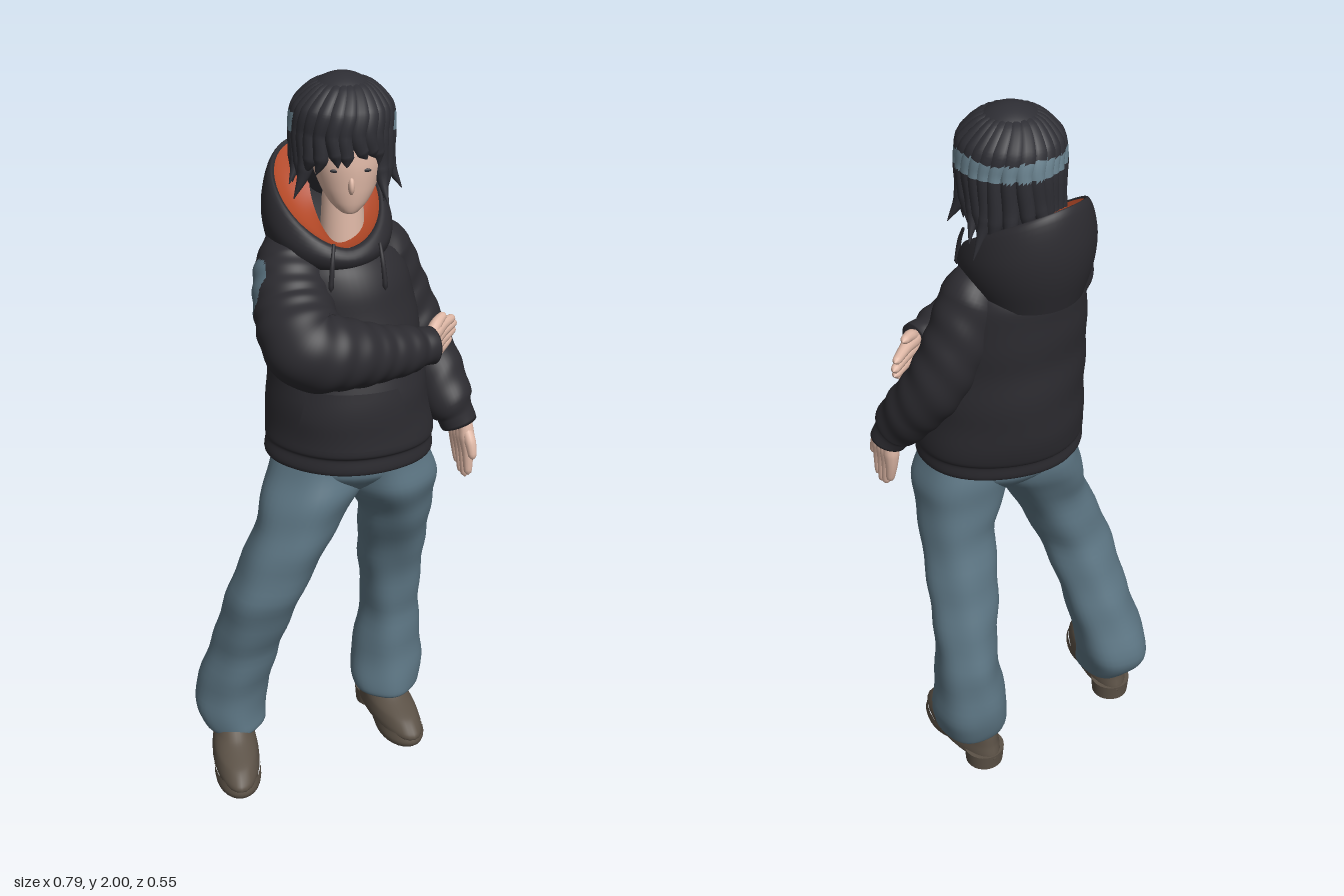
import * as THREE from 'three';
import { mergeVertices } from 'three/addons/utils/BufferGeometryUtils.js';

const V = (x, y, z) => new THREE.Vector3(x, y, z);
const mat = (name, color, side = THREE.FrontSide) => {
  const m = new THREE.MeshStandardMaterial({ color, side });
  m.name = name;
  return m;
};

// Surface through rows of points; rows run upward, points run anticlockwise from the front
function skin(rows, cols, closed, point) {
  const pos = [], idx = [], w = closed ? cols : cols + 1;
  for (let i = 0; i <= rows; i++)
    for (let j = 0; j < w; j++) pos.push(...point(i / rows, j / cols).toArray());
  for (let i = 0; i < rows; i++)
    for (let j = 0; j < cols; j++) {
      const a = i * w + j, b = i * w + ((j + 1) % w), c = a + w, d = b + w;
      idx.push(a, b, d, a, d, c);
    }
  const g = new THREE.BufferGeometry();
  g.setAttribute('position', new THREE.Float32BufferAttribute(pos, 3));
  g.setIndex(idx);
  g.computeVertexNormals();
  return g;
}

// Upright form from elliptical sections [y, x, z, rx, rz], with soft cloth folds
function loft(sections, { fold = 0, grow = 0, arc = null, rows = 48, cols = 40 } = {}) {
  const mid = new THREE.CatmullRomCurve3(sections.map(s => V(s[1], s[0], s[2])), false, 'catmullrom', 0.4);
  const rad = new THREE.CatmullRomCurve3(sections.map(s => V(s[3], s[4], 0)), false, 'catmullrom', 0.4);
  return skin(rows, cols, !arc, (t, u) => {
    const c = mid.getPoint(t), r = rad.getPoint(t);
    const a = arc ? (u * 2 - 1) * arc * (1 - 0.3 * t) : u * Math.PI * 2;
    const k = 1 + fold * Math.sin(2 * a + c.y * 26) * Math.sin(3 * a - c.y * 17 + 1);
    return V(c.x + (r.x * k + grow) * Math.sin(a), c.y, c.z + (r.y * k + grow) * Math.cos(a));
  });
}

// Round limb along a path of [x, y, z, radius]
function limb(points, { fold = 0, rows = 40, cols = 20 } = {}) {
  const path = new THREE.CatmullRomCurve3(points.map(p => V(p[0], p[1], p[2])));
  let g = new THREE.TubeGeometry(path, rows, 1, cols, false);
  const pos = g.attributes.position, p = V(), n = points.length - 1;
  for (let i = 0; i <= rows; i++) {
    const t = path.getUtoTmapping(i / rows) * n, k = Math.min(Math.floor(t), n - 1);
    const c = path.getPointAt(i / rows);
    const r = THREE.MathUtils.lerp(points[k][3], points[k + 1][3], t - k);
    for (let j = 0; j <= cols; j++) {
      const id = i * (cols + 1) + j, a = (j / cols) * Math.PI * 2;
      p.fromBufferAttribute(pos, id).sub(c);
      p.multiplyScalar(r * (1 + fold * Math.sin(i * 0.55 + 3 * Math.sin(a)))).add(c);
      pos.setXYZ(id, p.x, p.y, p.z);
    }
  }
  g.deleteAttribute('uv');
  g.deleteAttribute('normal');
  g = mergeVertices(g, 1e-5);
  g.computeVertexNormals();
  return g;
}

// Splits faces into two material groups by the place of their centre
function paint(g, test) {
  const old = g.index.array, pos = g.attributes.position, parts = [[], []], c = V(), q = V();
  for (let i = 0; i < old.length; i += 3) {
    c.set(0, 0, 0);
    for (let k = 0; k < 3; k++) c.add(q.fromBufferAttribute(pos, old[i + k]));
    parts[test(c.divideScalar(3)) ? 1 : 0].push(old[i], old[i + 1], old[i + 2]);
  }
  g.setIndex([...parts[0], ...parts[1]]);
  g.addGroup(0, parts[0].length, 0);
  g.addGroup(parts[0].length, parts[1].length, 1);
  return g;
}

export function createModel() {
  const model = new THREE.Group();
  const cloth = mat('charcoal cloth', 0x2c2b30, THREE.DoubleSide);
  const hairMat = mat('black hair', 0x2e2e34);
  const shine = mat('hair shine', 0x6c8592);
  const denim = mat('blue denim', 0x5d7684);
  const skinMat = mat('skin', 0xe0b9a7);
  const lining = mat('orange lining', 0xb04726, THREE.DoubleSide);
  const leather = mat('brown leather', 0x5b5146);
  const add = (name, geo, m, parent = model) => {
    const mesh = new THREE.Mesh(geo, m);
    mesh.name = name;
    parent.add(mesh);
    return mesh;
  };
  const ball = (name, at, size, m) => {
    const b = add(name, new THREE.SphereGeometry(1, 32, 20), m);
    b.position.set(...at);
    b.scale.set(...size);
  };

  // Trousers
  add('rightTrouserLeg', loft([[0.1, -0.285, 0, 0.07, 0.08], [0.115, -0.285, 0, 0.09, 0.1],
    [0.2, -0.295, -0.027, 0.105, 0.122], [0.4, -0.243, 0.01, 0.098, 0.108], [0.6, -0.185, 0.062, 0.105, 0.11],
    [0.8, -0.1, 0.05, 0.113, 0.12], [0.92, -0.05, 0.01, 0.135, 0.14], [1.03, -0.02, -0.01, 0.12, 0.13]], { fold: 0.045 }), denim);
  add('leftTrouserLeg', loft([[0.1, 0.18, -0.14, 0.07, 0.08], [0.12, 0.18, -0.14, 0.098, 0.108],
    [0.2, 0.18, -0.16, 0.107, 0.115], [0.4, 0.19, -0.16, 0.086, 0.104], [0.6, 0.185, -0.12, 0.096, 0.092],
    [0.8, 0.18, -0.05, 0.104, 0.115], [0.92, 0.158, -0.02, 0.13, 0.14], [1.03, 0.135, -0.01, 0.12, 0.135]], { fold: 0.045 }), denim);
  add('trouserSeat', loft([[0.88, 0.055, -0.01, 0.02, 0.03], [0.91, 0.055, -0.01, 0.06, 0.09],
    [0.97, 0.05, -0.01, 0.19, 0.142], [1.04, 0.05, -0.01, 0.195, 0.145]]), denim);

  // Shoes with block heels
  for (const [name, x, z, turn] of [['rightShoe', -0.288, 0.085, 0.06], ['leftShoe', 0.188, -0.09, 0.33]]) {
    const shoe = new THREE.Group();
    shoe.name = name;
    shoe.position.set(x, 0, z);
    shoe.rotation.y = turn;
    model.add(shoe);
    add('upper', loft([[0.03, 0, 0, 0.001, 0.1], [0.032, 0, 0, 0.06, 0.165], [0.05, 0, 0, 0.067, 0.168],
      [0.08, 0, -0.015, 0.063, 0.145], [0.11, 0, -0.055, 0.055, 0.1], [0.16, 0, -0.085, 0.048, 0.06]], { cols: 28 }), leather, shoe);
    add('sole', loft([[0, 0, 0.065, 0.001, 0.002], [0, 0, 0.065, 0.055, 0.085], [0.02, 0, 0.06, 0.066, 0.108],
      [0.045, 0, 0.04, 0.066, 0.12]], { cols: 28, rows: 12 }), leather, shoe);
    add('heel', new THREE.CylinderGeometry(0.058, 0.054, 0.05, 28), leather, shoe).position.set(0, 0.025, -0.112);
  }

  // Hooded top: body, front pocket, sleeves
  add('topBody', loft([[0.995, 0.05, -0.01, 0.12, 0.1], [1.0, 0.05, -0.01, 0.22, 0.172], [1.045, 0.05, -0.015, 0.223, 0.178],
    [1.07, 0.05, -0.02, 0.226, 0.194], [1.2, 0.045, -0.03, 0.212, 0.203], [1.35, 0.035, -0.05, 0.2, 0.18],
    [1.47, 0.025, -0.065, 0.186, 0.17], [1.53, 0.015, -0.075, 0.168, 0.158], [1.56, 0.015, -0.08, 0.135, 0.13],
    [1.57, 0.015, -0.08, 0.04, 0.04]], { fold: 0.016, rows: 60, cols: 56 }), cloth);
  add('frontPocket', loft([[1.08, 0.05, -0.022, 0.226, 0.197], [1.15, 0.047, -0.026, 0.219, 0.202],
    [1.24, 0.043, -0.035, 0.21, 0.2]], { fold: 0.016, grow: 0.006, arc: 0.8, rows: 16, cols: 24 }), cloth);
  const rightSleeve = limb([[-0.085, 1.6, -0.085, 0.02], [-0.095, 1.575, -0.07, 0.065], [-0.1, 1.52, -0.02, 0.096],
    [-0.1, 1.44, 0.07, 0.104], [-0.07, 1.375, 0.165, 0.109], [0.02, 1.352, 0.159, 0.092], [0.12, 1.33, 0.115, 0.073],
    [0.2, 1.32, 0.075, 0.062], [0.22, 1.318, 0.065, 0.051], [0.258, 1.315, 0.046, 0.05], [0.26, 1.315, 0.045, 0.01]],
    { fold: 0.018, rows: 150, cols: 80 });
  add('rightSleeve', paint(rightSleeve, c =>
    c.x < -0.13 && ((c.z - 0.03) / 0.062) ** 2 + ((c.y - 1.465) / 0.093) ** 2 < 1), [cloth, denim]);
  add('leftSleeve', limb([[0.1, 1.6, -0.1, 0.02], [0.11, 1.575, -0.1, 0.06], [0.14, 1.52, -0.115, 0.083],
    [0.19, 1.4, -0.13, 0.083], [0.24, 1.29, -0.118, 0.08], [0.288, 1.19, -0.065, 0.076], [0.322, 1.11, -0.015, 0.067],
    [0.334, 1.09, -0.008, 0.052], [0.348, 1.055, 0, 0.048], [0.349, 1.052, 0, 0.01]], { fold: 0.022, rows: 90, cols: 40 }), cloth);

  // Hood lying open behind the neck, high at the back and dipping to a point at the throat
  const hood = rings => skin(20, 56, true, (t, u) => {
    const a = u * Math.PI * 2, f = (1 - Math.cos(a - 0.3)) / 2;
    const rim = 1.592 + 0.193 * Math.pow(f, 0.8) - 0.01 * Math.sin(a);
    const r = new THREE.CatmullRomCurve3(rings.map(k => V(k[0], k[1], THREE.MathUtils.lerp(1.525, rim, k[2])))).getPoint(t);
    return V(-0.002 + r.x * Math.sin(a), r.z, -0.095 + r.y * Math.cos(a));
  });
  add('hoodOuter', hood([[0.14, 0.15, 0], [0.163, 0.174, 0.35], [0.168, 0.18, 0.65], [0.153, 0.167, 0.96], [0.14, 0.154, 1.03], [0.132, 0.146, 0.99]]), cloth);
  add('hoodLining', hood([[0.133, 0.147, 1], [0.124, 0.138, 0.97], [0.1, 0.118, 0.92], [0.045, 0.07, 0.9]]), lining);
  for (const [x, lean] of [[0.0, -0.01], [0.115, 0.012]])
    add('drawstring', limb([[x, 1.61, 0.07, 0.004], [x + lean * 0.5, 1.565, 0.09, 0.006],
      [x + lean, 1.5, 0.1, 0.007], [x + lean, 1.495, 0.1, 0.001]], { rows: 12, cols: 8 }), cloth);

  // Hands: four fingers grown from the wrist, and a thumb on the side axis
  const hand = (name, wrist, dir, side) => {
    const g = new THREE.Group();
    g.name = name;
    model.add(g);
    const at = (d, s, r) => [...wrist.clone().addScaledVector(dir, d).addScaledVector(side, s).toArray(), r];
    [-1.5, -0.5, 0.5, 1.5].forEach((k, i) => {
      const len = [0.13, 0.152, 0.157, 0.145][i];
      add('finger', limb([at(-0.03, k * 0.013, 0.018), at(0.03, k * 0.018, 0.022), at(0.075, k * 0.02, 0.016),
        at(len - 0.01, k * 0.018, 0.011), at(len, k * 0.018, 0.001)], { rows: 20, cols: 12 }), skinMat, g);
    });
    add('thumb', limb([at(0, 0.02, 0.016), at(0.04, 0.046, 0.016), at(0.08, 0.055, 0.011), at(0.09, 0.055, 0.001)],
      { rows: 16, cols: 12 }), skinMat, g);
  };
  hand('rightHand', V(0.25, 1.312, 0.045), V(0.57, 0, -0.82).normalize(), V(0, 1, 0));
  hand('leftHand', V(0.352, 1.06, 0.002), V(0.06, -0.98, 0.1).normalize(), V(0.35, 0.1, 0.93));

  // Head and face
  add('neck', new THREE.CylinderGeometry(0.05, 0.06, 0.2, 24), skinMat).position.set(0.035, 1.64, -0.065);
  add('head', loft([[1.667, 0.045, 0, 0.008, 0.01], [1.672, 0.045, -0.004, 0.024, 0.03], [1.695, 0.045, -0.022, 0.05, 0.057],
    [1.735, 0.045, -0.04, 0.073, 0.081], [1.8, 0.044, -0.06, 0.094, 0.104], [1.9, 0.04, -0.07, 0.095, 0.1],
    [1.95, 0.04, -0.08, 0.05, 0.05]]), skinMat);
  ball('nose', [0.046, 1.748, 0.036], [0.009, 0.024, 0.017], skinMat);
  for (const s of [-1, 1]) ball('eye', [0.045 + s * 0.036, 1.785, 0.033], [0.015, 0.005, 0.004], hairMat);

  // Hair: cap, nape and overlapping pointed locks with a shine band round the back
  const cap = add('hairCap', new THREE.SphereGeometry(1, 40, 20, 0, Math.PI * 2, 0, Math.PI * 0.55), hairMat);
  cap.position.set(0.035, 1.86, -0.083);
  cap.scale.set(0.12, 0.139, 0.12);
  add('hairNape', loft([[1.68, 0.035, -0.115, 0.04, 0.04], [1.7, 0.035, -0.115, 0.08, 0.07], [1.78, 0.035, -0.11, 0.108, 0.095],
    [1.87, 0.035, -0.095, 0.115, 0.11]]), hairMat);
  const locks = 26;
  for (let i = 0; i < locks; i++) {
    const jig = Math.sin(i * 7.3), a = ((i + 0.2 * jig) / locks) * Math.PI * 2, front = Math.cos(a);
    const tipY = (front > 0.6 ? 1.785 : front > -0.2 ? 1.71 : 1.675) + 0.024 * jig;
    const flare = front > 0.6 ? 0.122 : 0.136 + 0.016 * Math.cos(i * 3.1);
    const swirl = theta => a + 0.25 * (1.3 - theta);
    const at = (theta, r) => [0.035 + 0.115 * Math.sin(theta) * Math.sin(swirl(theta)), 1.86 + 0.117 * Math.cos(theta),
      -0.083 + 0.115 * Math.sin(theta) * Math.cos(swirl(theta)), r];
    const out = (b, rad, y, r) => [0.035 + rad * Math.sin(b), y, -0.083 + rad * Math.cos(b), r];
    const lock = limb([at(0.2, 0.01), at(0.6, 0.022), at(1.1, 0.028), at(1.5, 0.021 + 0.002 * jig),
      out(a + 0.06 * jig, 0.116, (1.85 + tipY) / 2, 0.02), out(a + 0.2 * jig, flare, tipY, 0.001)], { rows: 50, cols: 14 });
    add('hairLock', paint(lock, c => c.z < -0.04 && c.y > 1.86 && c.y < 1.903 + 0.005 * jig), [hairMat, shine]);
  }
  return model;
}
